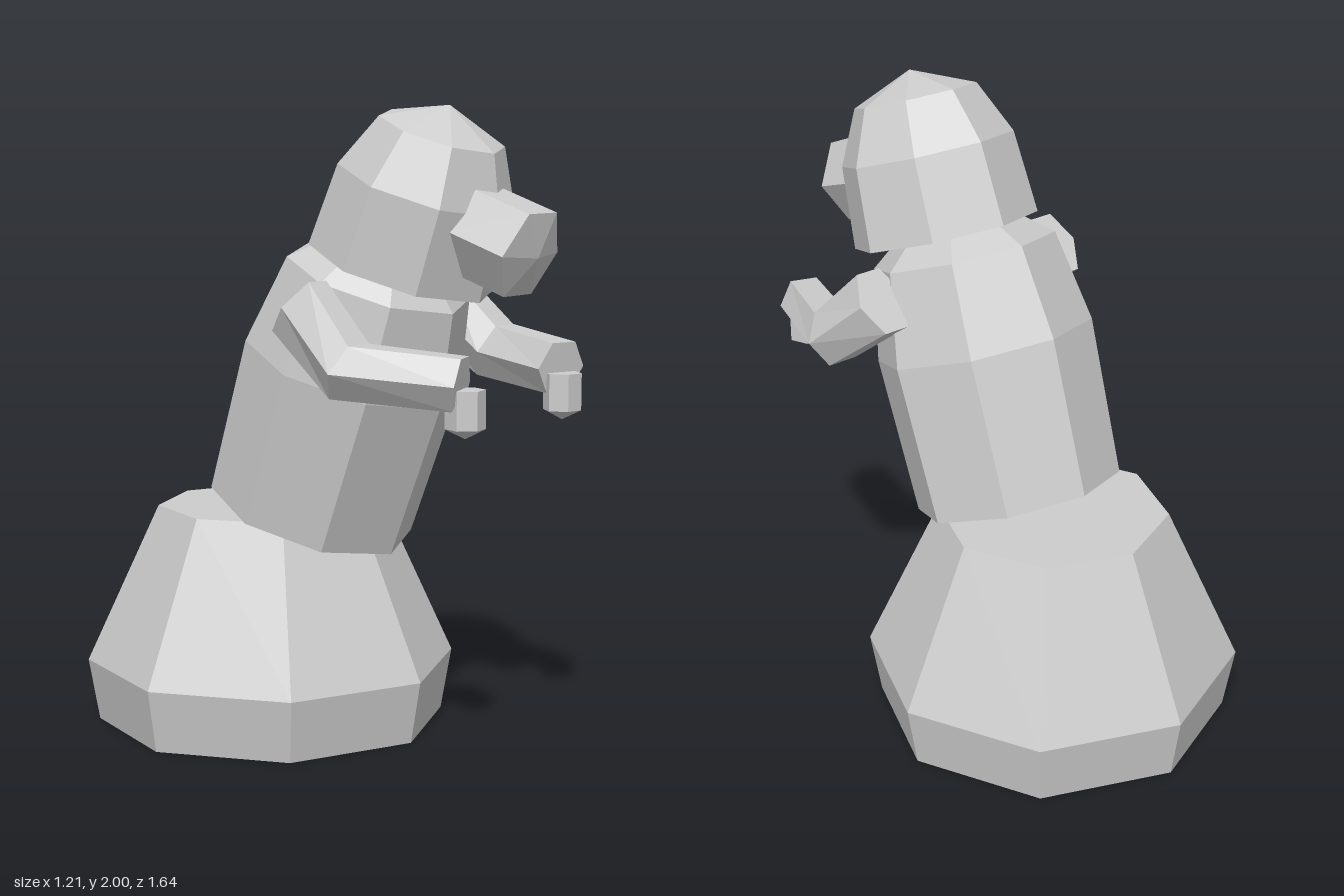
import * as THREE from 'three';

const grey = new THREE.MeshStandardMaterial({ color: 0xcccccc });
grey.name = 'plain grey';

const TILT = 0.337; // forward lean of torso and head

// Faceted mesh: every face keeps its own normal
function facet(name, geometry) {
  const g = geometry.index ? geometry.toNonIndexed() : geometry;
  g.computeVertexNormals();
  const mesh = new THREE.Mesh(g, grey);
  mesh.name = name;
  return mesh;
}

// Low-sided turned solid; profile is [radius, height] from bottom to top
function turned(name, sides, profile, phase = 0) {
  const pts = profile.map(([r, y]) => new THREE.Vector2(r, y));
  return facet(name, new THREE.LatheGeometry(pts, sides, phase));
}

// Closed loft through six-sided rings { c: centre, u: side axis, v: upper axis }
function hexLoft(name, rings, side) {
  const pts = rings.map(({ c, u, v }) => Array.from({ length: 6 }, (_, i) => {
    const a = side * i * Math.PI / 3;
    const cu = Math.cos(a), sv = Math.sin(a) / Math.sin(Math.PI / 3);
    return [0, 1, 2].map(k => (k ? 1 : side) * (c[k] + u[k] * cu + v[k] * sv));
  }));
  const pos = [];
  const tri = (a, b, c) => pos.push(...a, ...b, ...c);
  for (let j = 0; j < pts.length - 1; j++) {
    for (let i = 0; i < 6; i++) {
      const n = (i + 1) % 6;
      tri(pts[j][i], pts[j][n], pts[j + 1][n]);
      tri(pts[j][i], pts[j + 1][n], pts[j + 1][i]);
    }
  }
  const first = pts[0], last = pts[pts.length - 1];
  for (let i = 1; i < 5; i++) {
    tri(first[0], first[i + 1], first[i]);
    tri(last[0], last[i], last[i + 1]);
  }
  const g = new THREE.BufferGeometry();
  g.setAttribute('position', new THREE.Float32BufferAttribute(pos, 3));
  return facet(name, g);
}

export function createModel() {
  const model = new THREE.Group();
  model.name = 'figure';

  // Wide flared base
  const base = turned('base', 8, [[0, 0], [0.57, 0], [0.605, 0.2], [0.37, 0.71], [0, 0.71]]);
  base.position.z = -0.213;
  model.add(base);

  // Leaning torso with narrowing shoulders
  const torso = turned('torso', 8,
    [[0, 0], [0.336, 0], [0.353, 0.509], [0.297, 0.805], [0.2, 0.88], [0, 0.88]]);
  torso.position.set(0, 0.71, -0.0425);
  torso.rotation.x = TILT;
  model.add(torso);

  // Head: domed skull with a six-sided muzzle
  const head = new THREE.Group();
  head.name = 'head';
  head.position.set(0, 1.51, 0.315);
  head.rotation.x = TILT;
  head.add(turned('skull', 8, [[0, 0], [0.302, 0], [0.282, 0.265], [0.2, 0.437], [0, 0.52]]));
  const muzzle = turned('muzzle', 6, [[0, 0.21], [0.15, 0.21], [0.15, 0.42], [0, 0.45]], Math.PI / 2);
  muzzle.rotation.x = Math.PI / 2;
  muzzle.position.y = 0.203;
  head.add(muzzle);
  model.add(head);

  // Bent arms with small hanging hands
  const armRings = [
    { c: [0.355, 1.405, 0.19], u: [0.085, 0, 0], v: [0, 0.076, 0.07] },
    { c: [0.387, 1.225, 0.403], u: [0.102, 0, 0], v: [0, 0.08, 0.035] },
    { c: [0.27, 1.2, 0.724], u: [0.084, 0, 0.029], v: [0, 0.078, 0.01] },
  ];
  for (const side of [1, -1]) {
    const arm = new THREE.Group();
    arm.name = side > 0 ? 'leftArm' : 'rightArm';
    arm.add(hexLoft('sleeve', armRings, side));
    const hand = turned('hand', 6, [[0, 0], [0.06, 0.03], [0.06, 0.145], [0, 0.145]], side * 0.35);
    hand.position.set(side * 0.265, 1.04, 0.733);
    arm.add(hand);
    model.add(arm);
  }
  return model;
}
